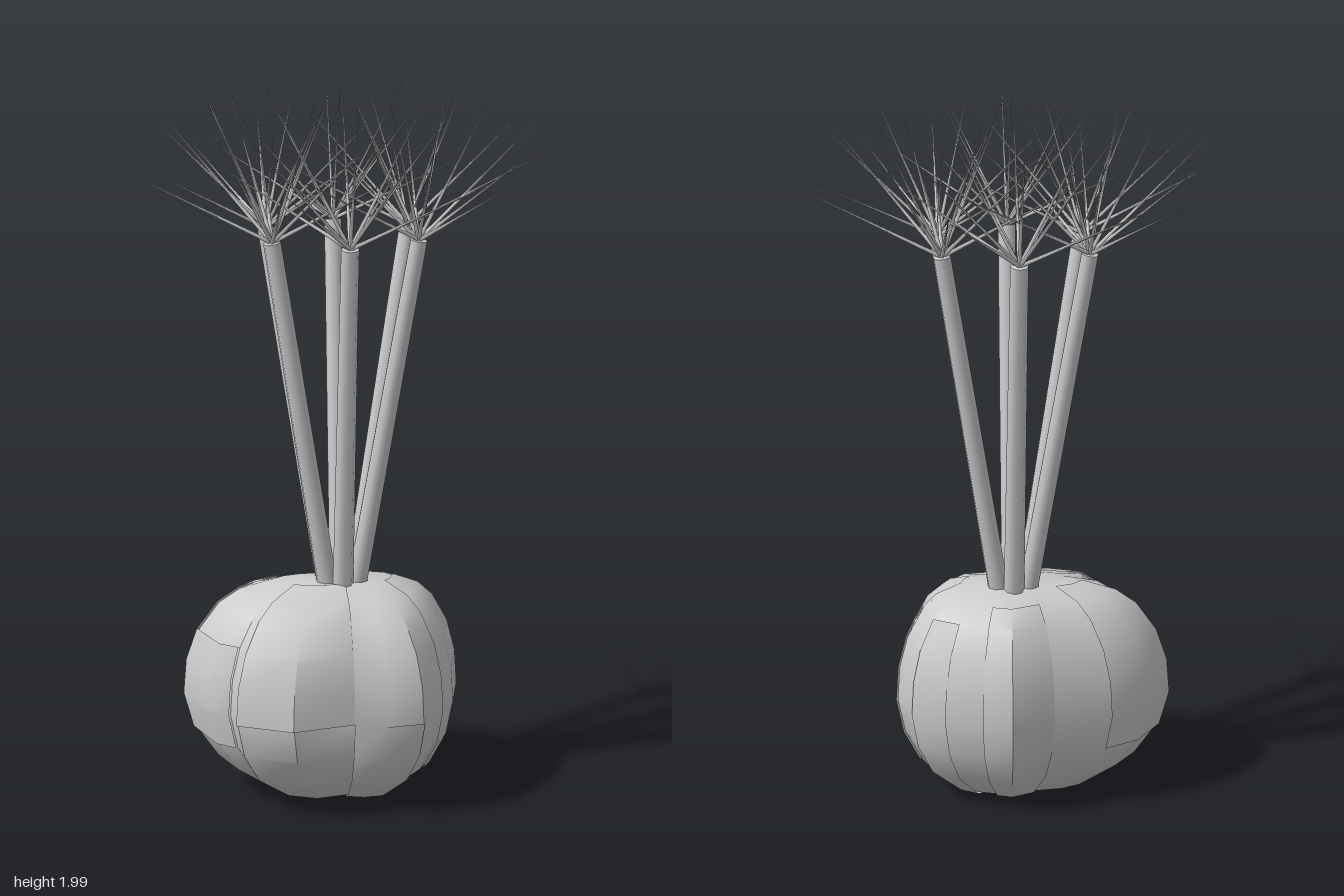
import * as THREE from 'three';
import { toCreasedNormals } from 'three/addons/utils/BufferGeometryUtils.js';

const material = new THREE.MeshStandardMaterial({ color: 0xcccccc, side: THREE.DoubleSide });

// Lumpy outline of the bulb seen from above: [x, z]
const outline = [
  [-0.44, -0.03], [-0.36, -0.14], [-0.26, -0.19], [-0.1, -0.21], [0.02, -0.265], [0.1, -0.235],
  [0.2, -0.2], [0.29, -0.14], [0.33, -0.03], [0.3, 0.11], [0.26, 0.19], [0.2, 0.275],
  [0.1, 0.29], [0.01, 0.265], [-0.16, 0.305], [-0.31, 0.24], [-0.325, 0.16], [-0.38, 0.12],
];
// Side profile of the bulb: [y, share of x, share of z]
const profile = [
  [0.012, 0, 0], [0.015, 0.42, 0.28], [0.03, 0.52, 0.45], [0.11, 0.8, 0.76], [0.2, 0.94, 0.94], [0.3, 1, 1],
  [0.4, 0.98, 0.98], [0.49, 0.91, 0.88], [0.57, 0.78, 0.7], [0.61, 0.65, 0.52], [0.637, 0.44, 0.25], [0.64, 0, 0],
];

// Skin over part of the outline (columns) and profile (rows), swollen by a factor
function skin(name, col0, col1, row0, row1, swell) {
  const positions = [], index = [];
  const cols = col1 - col0 + 1;
  for (let r = row0; r <= row1; r++) {
    const [y, sx, sz] = profile[r];
    for (let c = col0; c <= col1; c++) {
      const [x, z] = outline[c % outline.length];
      positions.push(x * sx * swell, 0.325 + (y - 0.325) * swell, z * sz * swell);
    }
  }
  for (let r = 0; r < row1 - row0; r++) {
    for (let c = 0; c < cols - 1; c++) {
      const a = r * cols + c, b = a + 1, d = a + cols, e = d + 1;
      index.push(a, d, b, b, d, e);
    }
  }
  const geometry = new THREE.BufferGeometry();
  geometry.setAttribute('position', new THREE.Float32BufferAttribute(positions, 3));
  geometry.setIndex(index);
  const mesh = new THREE.Mesh(toCreasedNormals(geometry, 0.6), material);
  mesh.name = name;
  return mesh;
}

// Tapered rod between two points
function rod(name, from, to, topRadius, bottomRadius, sides) {
  const direction = to.clone().sub(from);
  const geometry = new THREE.CylinderGeometry(topRadius, bottomRadius, direction.length(), sides);
  const mesh = new THREE.Mesh(geometry, material);
  mesh.name = name;
  mesh.position.copy(from).add(to).multiplyScalar(0.5);
  mesh.quaternion.setFromUnitVectors(new THREE.Vector3(0, 1, 0), direction.normalize());
  return mesh;
}

// One stalk leaning towards +x, crowned by twelve needles in three tiers
function createStalk() {
  const stalk = new THREE.Group();
  stalk.name = 'stalk';
  const tip = new THREE.Vector3(0.226, 1.61, 0);
  stalk.add(rod('stem', new THREE.Vector3(0, 0.36, 0), tip, 0.024, 0.03, 8));
  const elevations = [63, 45, 27];
  const length = 0.437;
  for (let i = 0; i < 12; i++) {
    const turn = THREE.MathUtils.degToRad(i * 30);
    const rise = THREE.MathUtils.degToRad(elevations[i % 3]);
    const end = new THREE.Vector3(
      Math.cos(rise) * Math.cos(turn), Math.sin(rise), -Math.cos(rise) * Math.sin(turn),
    ).multiplyScalar(length).add(tip);
    stalk.add(rod('needle', tip, end, 0.0008, 0.006, 5));
  }
  return stalk;
}

export function createModel() {
  const model = new THREE.Group();
  model.name = 'sproutingBulb';

  // Bulb with thin overlapping scales
  const bulb = new THREE.Group();
  bulb.name = 'bulb';
  bulb.add(skin('bulbCore', 0, outline.length, 0, profile.length - 1, 0.995));
  const scales = [
    [0, 2, 4, 10], [3, 5, 2, 9], [6, 7, 1, 8], [8, 10, 3, 10],
    [11, 13, 1, 5], [13, 15, 5, 10], [16, 18, 4, 7],
  ];
  scales.forEach(([c0, c1, r0, r1]) => bulb.add(skin('bulbScale', c0, c1, r0, r1, 1.01)));
  model.add(bulb);

  // Ring of six stalks
  for (let i = 0; i < 6; i++) {
    const stalk = createStalk();
    stalk.rotation.y = THREE.MathUtils.degToRad(30 + i * 60);
    model.add(stalk);
  }
  return model;
}
